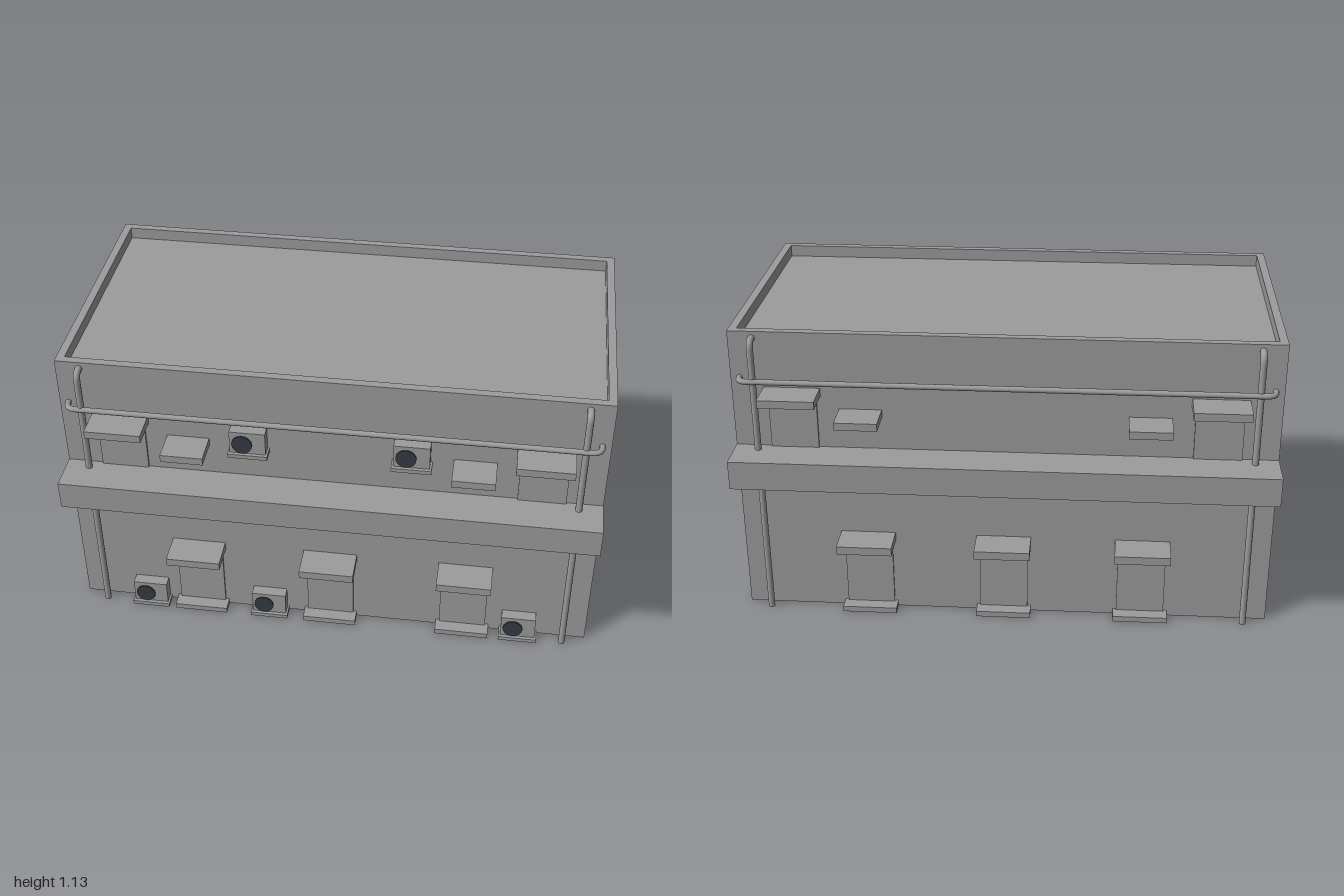
import * as THREE from 'three';

const concrete = new THREE.MeshStandardMaterial({ color: 0x9c9c9c, side: THREE.DoubleSide });
concrete.name = 'grey concrete';
const glass = new THREE.MeshStandardMaterial({ color: 0x353b43 });
glass.name = 'dark glass';

const W = 0.993, D = 0.492, ROOF = 1.085, TOP = 1.13;

function add(parent, name, geometry, material = concrete) {
  const mesh = new THREE.Mesh(geometry, material);
  mesh.name = name;
  parent.add(mesh);
  return mesh;
}

// Box given by its minimum and maximum on each axis
function block(parent, name, x0, x1, y0, y1, z0, z1, material) {
  const g = new THREE.BoxGeometry(x1 - x0, y1 - y0, z1 - z0);
  g.translate((x0 + x1) / 2, (y0 + y1) / 2, (z0 + z1) / 2);
  return add(parent, name, g, material);
}

// Pipe through straight runs joined by rounded corners
function pipe(parent, name, points, bend, radius) {
  const pts = points.map(p => new THREE.Vector3(...p));
  const path = new THREE.CurvePath();
  let from = pts[0];
  for (let i = 1; i < pts.length - 1; i++) {
    const a = pts[i].clone().add(pts[i - 1].clone().sub(pts[i]).setLength(bend));
    const b = pts[i].clone().add(pts[i + 1].clone().sub(pts[i]).setLength(bend));
    path.add(new THREE.LineCurve3(from, a));
    path.add(new THREE.QuadraticBezierCurve3(a, pts[i], b));
    from = b;
  }
  path.add(new THREE.LineCurve3(from, pts[pts.length - 1]));
  add(parent, name, new THREE.TubeGeometry(path, 160, radius, 12));
}

// Everything shared by the front and back, built facing +z
function createFacade(name) {
  const f = new THREE.Group();
  f.name = name;

  block(f, 'balcony', -W, W, 0.57, 0.68, D - 0.01, 0.64);

  // Ground floor doors with canopy and step
  for (const x of [-0.518, -0.005, 0.515]) {
    block(f, 'lowerDoor', x - 0.09, x + 0.09, 0.02, 0.275, D - 0.005, 0.5);
    block(f, 'lowerCanopy', x - 0.103, x + 0.103, 0.293, 0.325, D - 0.005, 0.613);
    block(f, 'doorStep', x - 0.103, x + 0.103, 0, 0.022, D - 0.005, 0.548);
  }

  // Upper doors and the small canopies beside them
  for (const s of [-1, 1]) {
    const x = s * 0.772;
    block(f, 'upperDoor', x - 0.088, x + 0.088, 0.68, 0.866, D - 0.005, 0.5);
    block(f, 'upperCanopy', x - 0.103, x + 0.103, 0.885, 0.915, D - 0.005, 0.613);
    block(f, 'windowCanopy', s * 0.525 - 0.078, s * 0.525 + 0.078, 0.807, 0.836, D - 0.005, 0.613);

    // Downpipe turning into the wall near the roof
    pipe(f, 'downpipe', [[s * 0.905, 0, 0.527], [s * 0.905, 1.105, 0.527], [s * 0.905, 1.105, D - 0.005]], 0.03, 0.0125);
  }
  pipe(f, 'horizontalPipe', [[-0.96, 0.952, D - 0.005], [-0.96, 0.952, 0.535], [0.96, 0.952, 0.535], [0.96, 0.952, D - 0.005]], 0.035, 0.0105);
  return f;
}

function createAirUnit(x, y) {
  const g = new THREE.Group();
  g.name = 'airUnit';
  block(g, 'airUnitBase', -0.073, 0.073, 0, 0.016, D - 0.005, 0.548);
  block(g, 'airUnitBody', -0.066, 0.066, 0.016, 0.108, D - 0.005, 0.535);
  const fan = new THREE.CylinderGeometry(0.038, 0.038, 0.006, 16);
  fan.rotateX(Math.PI / 2).translate(-0.02, 0.056, 0.537);
  add(g, 'airUnitFan', fan, glass);
  g.position.set(x, y, 0);
  return g;
}

export function createModel() {
  const model = new THREE.Group();
  model.name = 'building';

  // Wall shell, open underneath
  for (let i = 0; i < 4; i++) {
    const [w, d] = i % 2 ? [D, W] : [W, D];
    const wall = new THREE.PlaneGeometry(2 * w, ROOF);
    wall.translate(0, ROOF / 2, d).rotateY(i * Math.PI / 2);
    add(model, 'wall', wall);
  }

  // Roof slab and raised parapet
  const roof = new THREE.PlaneGeometry(2 * W, 2 * D);
  roof.rotateX(-Math.PI / 2).translate(0, ROOF, 0);
  add(model, 'roof', roof);
  const rect = (shape, w, d) => shape.moveTo(-w, -d).lineTo(w, -d).lineTo(w, d).lineTo(-w, d).closePath();
  const rim = rect(new THREE.Shape(), W, D);
  rim.holes.push(rect(new THREE.Path(), W - 0.03, D - 0.03));
  const parapet = new THREE.ExtrudeGeometry(rim, { depth: TOP - ROOF, bevelEnabled: false });
  parapet.rotateX(-Math.PI / 2).translate(0, ROOF, 0);
  add(model, 'parapet', parapet);

  // Matching front and back
  const back = createFacade('backFacade');
  back.rotation.y = Math.PI;
  model.add(createFacade('frontFacade'), back);

  // Air units on the front only
  for (const [x, y] of [[-0.722, 0], [-0.245, 0], [0.733, 0], [-0.297, 0.8], [0.298, 0.8]]) {
    model.add(createAirUnit(x, y));
  }

  // Dark windows on both end walls
  for (const s of [-1, 1]) for (const t of [-1, 1]) {
    const x = s * (W + 0.003), z = t * 0.301;
    block(model, 'sideWindow', x - 0.004, x + 0.004, 0.668, 0.8, z - 0.07, z + 0.07, glass);
  }
  return model;
}
